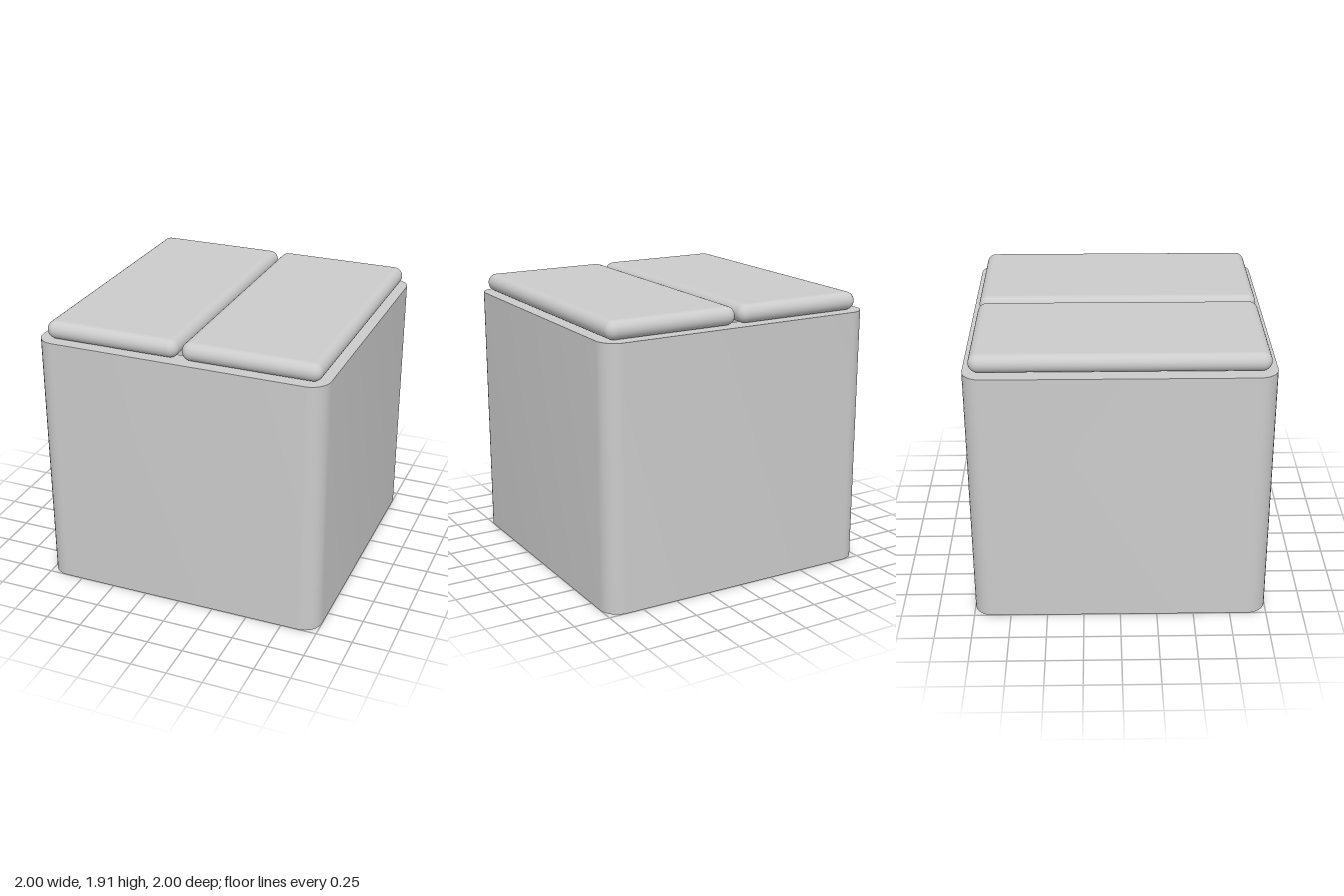
import * as THREE from 'three';
import { toCreasedNormals } from 'three/addons/utils/BufferGeometryUtils.js';
import { RoundedBoxGeometry } from 'three/addons/geometries/RoundedBoxGeometry.js';

const HEIGHT = 1.79;      // top of the bin walls
const WALL = 0.15;        // wall thickness
const CUSHION = { width: 0.935, height: 0.125, depth: 1.915 };

// Square outline with rounded corners, centred on the origin
function roundedSquare(half, r, Type = THREE.Shape) {
  const s = new Type();
  const c = half - r;
  s.moveTo(half, -c);
  [[c, c], [-c, c], [-c, -c], [c, -c]].forEach(([x, y], i) => {
    const start = i * Math.PI / 2;
    s.absarc(x, y, r, start, start + Math.PI / 2, false);
  });
  s.closePath();
  return s;
}

// Upright extrusion of a plan outline, smooth around its corners
function upright(shape, height) {
  const geometry = new THREE.ExtrudeGeometry(shape, {
    depth: height, bevelEnabled: false, curveSegments: 4,
  });
  geometry.rotateX(-Math.PI / 2);
  return toCreasedNormals(geometry, 0.6);
}

export function createModel() {
  const group = new THREE.Group();
  group.name = 'storageOttoman';
  const material = new THREE.MeshStandardMaterial({ color: 0xcccccc });

  const add = (name, geometry, x = 0, y = 0, z = 0) => {
    const mesh = new THREE.Mesh(geometry, material);
    mesh.name = name;
    mesh.position.set(x, y, z);
    group.add(mesh);
  };

  // Open bin: four walls and a floor panel fitted between them
  const walls = roundedSquare(1, 0.13);
  walls.holes.push(roundedSquare(1 - WALL, 0.05, THREE.Path));
  add('binWalls', upright(walls, HEIGHT));
  add('binFloor', upright(roundedSquare(1 - WALL, 0.05), 0.1));

  // Two padded lids with fully rounded edges, side by side
  const { width, height, depth } = CUSHION;
  const lid = new RoundedBoxGeometry(width, height, depth, 5, height / 2);
  add('rightLid', lid, -0.472, HEIGHT + height / 2);
  add('leftLid', lid, 0.488, HEIGHT + height / 2);

  return group;
}
